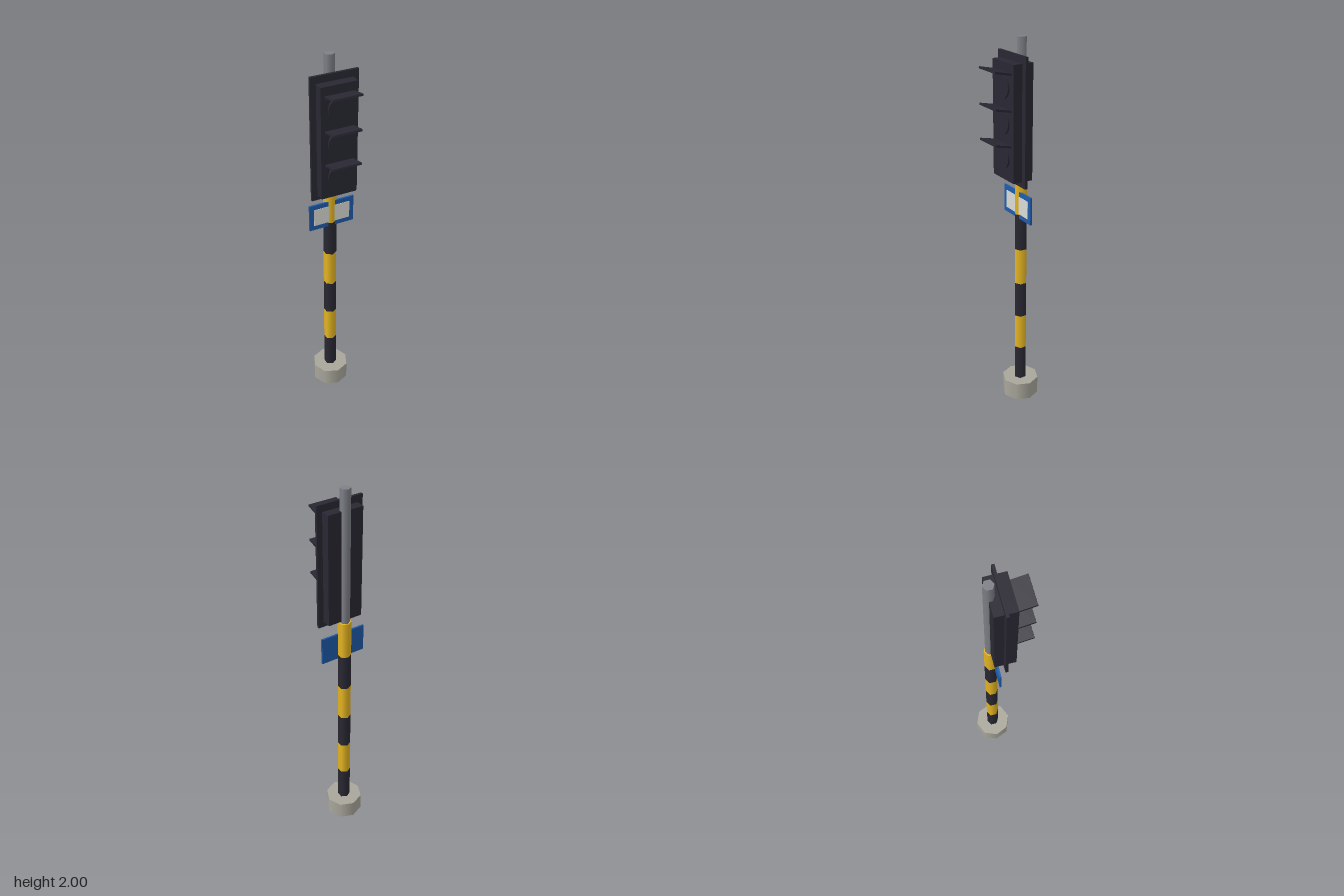
import * as THREE from 'three';

const mat = (name, color, opts = {}) => {
  const m = new THREE.MeshStandardMaterial({ color, ...opts });
  m.name = name;
  return m;
};

export function createModel() {
  const black = mat('black', 0x292833);
  const yellow = mat('yellow', 0xe6b622);
  const grey = mat('steel grey', 0x7d8087);
  const concrete = mat('concrete', 0xa9a79b);
  const blue = mat('blue', 0x1f5cab);
  const white = mat('white', 0xdadad6);

  const model = new THREE.Group();
  model.name = 'trafficSignal';
  const add = (name, geometry, material, x, y, z, parent = model) => {
    const mesh = new THREE.Mesh(geometry, material);
    mesh.name = name;
    mesh.position.set(x, y, z);
    parent.add(mesh);
    return mesh;
  };
  const box = (w, h, d) => new THREE.BoxGeometry(w, h, d);
  const poleZ = -0.046;

  // Octagonal footing
  add('base', new THREE.CylinderGeometry(0.1, 0.1, 0.1, 8), concrete, 0, 0.05, poleZ);

  // Striped hexagonal pole, black and yellow in turn
  for (let i = 0; i < 6; i++) {
    add('poleBand' + (i + 1), new THREE.CylinderGeometry(0.034, 0.034, 0.2, 6),
      i % 2 ? yellow : black, 0, 0.2 + i * 0.2, poleZ);
  }

  // Thinner upper pole
  add('upperPole', new THREE.CylinderGeometry(0.026, 0.026, 0.7, 6), grey, 0, 1.65, poleZ - 0.001);

  // Sign plate with pale panel
  add('signPlate', box(0.248, 0.146, 0.01), blue, 0, 1.153, -0.028);
  add('signPanel', box(0.2, 0.095, 0.002), white, 0, 1.153, -0.022);

  // Signal head
  const head = new THREE.Group();
  head.name = 'signalHead';
  model.add(head);
  add('backboard', box(0.248, 0.646, 0.014), black, 0, 1.603, 0.003, head);
  add('housing', box(0.19, 0.582, 0.109), black, 0, 1.6, 0.0035, head);

  // Three lenses, each under a tilted visor
  for (let i = 0; i < 3; i++) {
    const drop = i * 0.175;
    const lens = add('lens' + (i + 1), new THREE.CylinderGeometry(0.06, 0.06, 0.01, 16), black,
      0, 1.775 - drop, 0.062, head);
    lens.rotation.x = Math.PI / 2;
    const visor = add('visor' + (i + 1), box(0.15, 0.01, 0.092), black,
      0, 1.851 - drop, 0.1, head);
    visor.rotation.x = -0.21;
  }
  return model;
}
